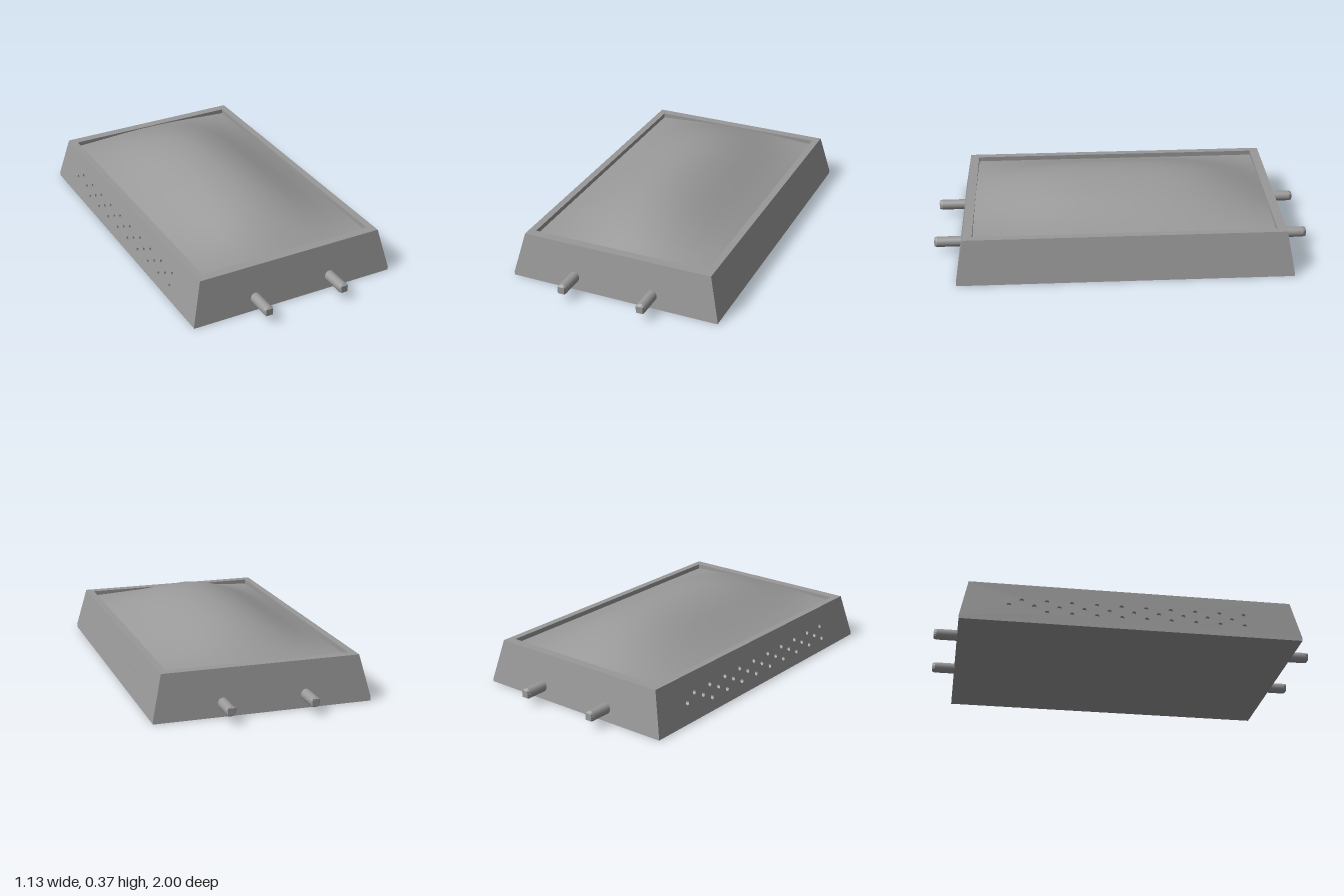
import * as THREE from 'three';

const MAT = new THREE.MeshStandardMaterial({ color: 0x999999 });
const MAT2 = new THREE.MeshStandardMaterial({ color: 0x999999, side: THREE.DoubleSide });
const ZC = -0.006; // the housing sits slightly behind the middle

// Housing sections
const FOOT = { hx: 0.565, hz: 0.875, y: 0.018 };
const RIM = { hx: 0.512, hz: 0.835, y: 0.235 };
const INNER = { hx: 0.475, hz: 0.787, y: 0.235 };
const FLOOR = 0.2;

function add(group, geometry, name, material = MAT) {
  const mesh = new THREE.Mesh(geometry, material);
  mesh.name = name;
  group.add(mesh);
}

const corners = ({ hx, hz, y }) => [
  [-hx, y, ZC + hz], [hx, y, ZC + hz], [hx, y, ZC - hz], [-hx, y, ZC - hz],
];

// Flat quads, corners counter-clockwise from outside
function quads(list) {
  const pos = list.flatMap(([a, b, c, d]) => [a, b, c, a, c, d]).flat();
  const g = new THREE.BufferGeometry();
  g.setAttribute('position', new THREE.Float32BufferAttribute(pos, 3));
  g.computeVertexNormals();
  return g;
}

function ring(lower, upper, sides = [0, 1, 2, 3]) {
  const a = corners(lower), b = corners(upper);
  return sides.map(i => [a[i], a[(i + 1) % 4], b[(i + 1) % 4], b[i]]);
}

// Sloping side wall pierced by three staggered rows of vent holes
function ventWall(side) {
  const depth = 0.02;
  const slope = (RIM.hx - FOOT.hx) / (RIM.y - FOOT.y);
  const xAt = y => FOOT.hx + slope * (y - FOOT.y);
  const u = z => -side * z;
  const shape = new THREE.Shape([
    new THREE.Vector2(u(ZC - FOOT.hz), FOOT.y), new THREE.Vector2(u(ZC + FOOT.hz), FOOT.y),
    new THREE.Vector2(u(ZC + RIM.hz), RIM.y), new THREE.Vector2(u(ZC - RIM.hz), RIM.y),
  ]);
  const rows = [[0.135, 0.572, 10], [0.102, 0.508, 10], [0.068, 0.572, 9]];
  for (const [y, start, count] of rows) {
    for (let i = 0; i < count; i++) {
      const hole = new THREE.Path();
      hole.absarc(u(start - i * 0.127), y, 0.0115, 0, Math.PI * 2, true);
      shape.holes.push(hole);
    }
  }
  const g = new THREE.ExtrudeGeometry(shape, { depth, bevelEnabled: false, curveSegments: 10 });
  const p = g.attributes.position;
  for (let i = 0; i < p.count; i++) {
    const [a, y, w] = [p.getX(i), p.getY(i), p.getZ(i)];
    p.setXYZ(i, side * (xAt(y) - depth + w), y, -side * a);
  }
  g.computeVertexNormals();
  return g;
}

// Domed cover height: a bell across the width, a flatter arch along the length,
// each given at five equal steps from the middle to the edge
const step = (nodes, t) => {
  const s = Math.min(Math.abs(t), 1) * 5;
  const i = Math.min(4, Math.floor(s));
  return nodes[i] + (nodes[i + 1] - nodes[i]) * (s - i);
};
const ACROSS = [1, 0.935, 0.755, 0.49, 0.22, 0];
const ALONG = [1, 0.985, 0.93, 0.78, 0.5, 0.13];
const domeY = (x, z) => 0.21 + 0.16 * step(ACROSS, x / INNER.hx) * step(ALONG, z / INNER.hz);

// Drape a flat geometry over the dome, at a given drop below it
function drape(g, drop) {
  const p = g.attributes.position;
  for (let i = 0; i < p.count; i++) p.setY(i, domeY(p.getX(i), p.getZ(i)) - drop);
  g.computeVertexNormals();
  return g.translate(0, 0, ZC);
}

const dome = () =>
  drape(new THREE.PlaneGeometry(INNER.hx * 2, INNER.hz * 2, 20, 20).rotateX(-Math.PI / 2), 0);

// Thin strip following the underside of the dome
function rib(at, lengthwise) {
  const half = lengthwise ? INNER.hz : INNER.hx;
  const g = new THREE.PlaneGeometry(half * 2, 0.008, 20, 1).rotateX(-Math.PI / 2);
  if (lengthwise) g.rotateY(Math.PI / 2).translate(at, 0, 0);
  else g.translate(0, 0, at);
  return drape(g, 0.0015);
}

// Round pin along +z whose tip narrows to a squarish end
function pin() {
  const part = new THREE.Group();
  const shaft = new THREE.CylinderGeometry(0.028, 0.028, 0.145, 16);
  add(part, shaft.rotateX(Math.PI / 2).translate(0, 0, 0.9125), 'pinShaft');
  const tip = new THREE.CylinderGeometry(0.028, 0.028, 0.015, 16)
    .rotateX(Math.PI / 2).translate(0, 0, 0.9925).toNonIndexed();
  const p = tip.attributes.position;
  const clamp = v => THREE.MathUtils.clamp(v, -0.018, 0.018);
  for (let i = 0; i < p.count; i++) {
    if (p.getZ(i) > 0.99) p.setXY(i, clamp(p.getX(i)), clamp(p.getY(i)));
  }
  tip.computeVertexNormals();
  add(part, tip, 'pinTip');
  return part;
}

export function createModel() {
  const model = new THREE.Group();
  model.name = 'domedTray';

  // Housing: sloped ends, rim, recess and base
  const foot0 = { ...FOOT, y: 0 };
  const floor = { ...INNER, y: FLOOR };
  add(model, quads([
    ...ring(FOOT, RIM, [0, 2]),
    ...ring(RIM, INNER),
    ...ring(INNER, floor),
    corners(foot0).reverse(),
    corners(floor),
  ]), 'housing');

  // Foot band, shaded as one with the sloping walls above it
  const band = quads(ring(foot0, FOOT));
  band.setAttribute('normal', quads(ring(FOOT, RIM)).attributes.normal);
  add(model, band, 'footBand');

  // Vented side walls with closed backs behind the holes
  for (const side of [1, -1]) {
    const name = side > 0 ? 'left' : 'right';
    add(model, ventWall(side), name + 'VentWall');
    const inset = s => ({ ...s, hx: s.hx - 0.019 });
    add(model, quads(ring(inset(FOOT), inset(RIM), [side > 0 ? 1 : 3])), name + 'VentBacking');
  }

  // Domed cover and the lattice just under it
  add(model, dome(), 'domedCover', MAT2);
  const lattice = new THREE.Group();
  lattice.name = 'lattice';
  for (const x of [0.075, 0.16, 0.25, 0.34, 0.425]) {
    for (const s of [1, -1]) add(lattice, rib(s * x, true), 'lengthRib', MAT2);
  }
  for (let i = -4; i <= 4; i++) add(lattice, rib(i * INNER.hz / 5, false), 'crossRib', MAT2);
  model.add(lattice);

  // Two pins on each end
  for (const x of [-0.22, 0.21]) {
    for (const end of ['front', 'back']) {
      const p = pin();
      p.name = end + 'Pin';
      p.position.set(x, 0.066, 0);
      if (end === 'back') p.rotation.y = Math.PI;
      model.add(p);
    }
  }
  return model;
}
